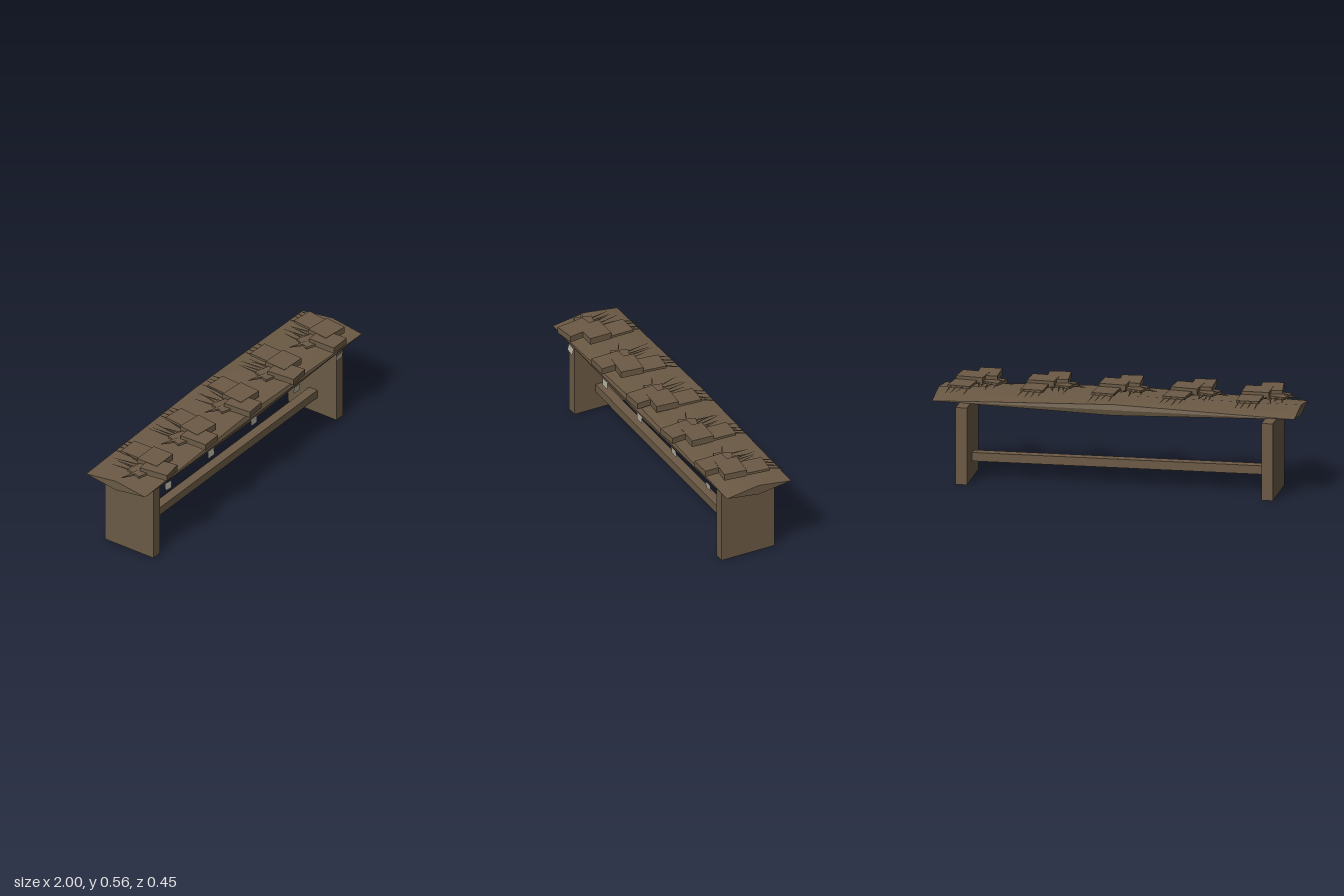
import * as THREE from 'three';
import { toCreasedNormals } from 'three/addons/utils/BufferGeometryUtils.js';

const wood = new THREE.MeshStandardMaterial({ color: 0x6b5a45 });
wood.name = 'weathered wood';
wood.flatShading = true;
const seatWood = wood.clone();
seatWood.flatShading = false;
const pale = new THREE.MeshStandardMaterial({ color: 0xb5b0a0, side: THREE.DoubleSide });
pale.name = 'pale tag';

// small seeded random in -1..1
function makeRandom(seed) {
  return () => {
    seed = (seed * 16807) % 2147483647;
    return (seed / 2147483647) * 2 - 1;
  };
}

function add(parent, name, geometry, material, x = 0, y = 0, z = 0) {
  const mesh = new THREE.Mesh(geometry, material);
  mesh.name = name;
  mesh.position.set(x, y, z);
  parent.add(mesh);
  return mesh;
}

// Plank: bevelled in the middle, thinning to a flat diamond at both ends
function seatGeometry() {
  const end = [[0.18, 0.475], [0.18, 0.475], [-0.015, 0.503], [-0.215, 0.475],
    [-0.215, 0.475], [-0.215, 0.475], [-0.015, 0.447], [0.18, 0.475]];
  const middle = [[0.185, 0.475], [0.175, 0.505], [-0.015, 0.505], [-0.21, 0.505],
    [-0.217, 0.475], [-0.208, 0.443], [-0.015, 0.443], [0.175, 0.443]];
  const rings = [[-1, end], [0, middle], [1, end]].map(([x, ring]) =>
    ring.map(([z, y]) => [x, y, z]));
  const pos = [];
  const tri = (...corners) => corners.forEach((c) => pos.push(...c));
  for (let j = 0; j < 8; j++) {
    const k = (j + 1) % 8;
    for (let i = 0; i < 2; i++) {
      const a = rings[i][j], b = rings[i][k], c = rings[i + 1][k], d = rings[i + 1][j];
      tri(a, d, c);
      tri(a, c, b);
    }
    tri([-1, 0.475, -0.015], rings[0][j], rings[0][k]);
    tri([1, 0.475, -0.015], rings[2][k], rings[2][j]);
  }
  const geo = new THREE.BufferGeometry();
  geo.setAttribute('position', new THREE.Float32BufferAttribute(pos, 3));
  geo.computeVertexNormals();
  return toCreasedNormals(geo, 0.5);
}

// Thin pointed splinter from one point to another
function splinter(parent, name, from, to, width) {
  const a = new THREE.Vector3(...from), b = new THREE.Vector3(...to);
  const geo = new THREE.CylinderGeometry(width * 0.15, width, a.distanceTo(b), 4);
  geo.scale(1, 1, 0.5);
  const mesh = add(parent, name, geo, wood);
  mesh.position.copy(a).add(b).multiplyScalar(0.5);
  mesh.quaternion.setFromUnitVectors(new THREE.Vector3(0, 1, 0), b.sub(a).normalize());
}

// Two overlapping blocks with splintered ends reaching toward the back
function cluster(x, turn, seed) {
  const rand = makeRandom(seed);
  const g = new THREE.Group();
  g.name = 'splinteredCluster';
  g.position.x = x;
  g.rotation.y = turn;
  const block = (name, w, h, d, px, py, pz, ry) => {
    add(g, name, new THREE.BoxGeometry(w, h, d), wood, px, py, pz).rotation.y = ry;
  };
  block('frontBlock', 0.12, 0.036, 0.165, -0.035, 0.54, 0.132, 0.04);
  block('rearBlock', 0.15, 0.038, 0.13, 0.04, 0.541, 0.066, -0.1);
  block('rearPlate', 0.125, 0.014, 0.135, 0.07, 0.536, -0.062, -0.1);
  block('sidePlate', 0.1, 0.014, 0.1, -0.085, 0.53, 0.045, -0.35);

  // long splinters behind the rear plate
  for (let i = 0; i < 4; i++) {
    const px = 0.02 + i * 0.033;
    splinter(g, 'longSplinter', [px, 0.537, -0.11],
      [px + 0.02 + rand() * 0.008, 0.52 + rand() * 0.008, -0.205 + rand() * 0.012], 0.008);
  }
  // short splinters beside the rear plate
  for (let i = 0; i < 5; i++) {
    const px = -0.11 + i * 0.025;
    splinter(g, 'shortSplinter', [px + rand() * 0.008, 0.528, 0.01],
      [px + rand() * 0.025, 0.535 + rand() * 0.008, -0.12 + rand() * 0.025], 0.007);
  }
  // side splinter
  splinter(g, 'sideSplinter', [-0.11, 0.532, 0.045], [-0.2, 0.532, -0.005], 0.013);
  return g;
}

export function createModel() {
  const model = new THREE.Group();
  model.name = 'bench';

  add(model, 'seat', seatGeometry(), seatWood);

  // Slab legs
  for (const side of [-1, 1]) {
    add(model, side < 0 ? 'rightLeg' : 'leftLeg',
      new THREE.BoxGeometry(0.062, 0.432, 0.325), wood, side * 0.844, 0.218, -0.017);
  }

  // Stretcher between the legs
  const stretcher = add(model, 'stretcher',
    new THREE.BoxGeometry(1.64, 0.048, 0.055), wood, 0, 0.127, -0.01);
  stretcher.rotation.z = -0.006;

  // Clusters on the seat and tags hanging below its front edge
  const turns = [0.1, -0.02, 0.02, 0.05, -0.02];
  for (let i = 0; i < 5; i++) {
    const x = (i - 2) * 0.395;
    model.add(cluster(x, turns[i], 101 + i * 977));

    const tag = add(model, 'tag', new THREE.PlaneGeometry(0.057, 0.042),
      pale, x, 0.441, 0.183);
    tag.rotation.set((i - 2) * 0.08, 0, [-0.12, 0.02, 0, -0.08, 0.1][i]);
  }
  return model;
}
